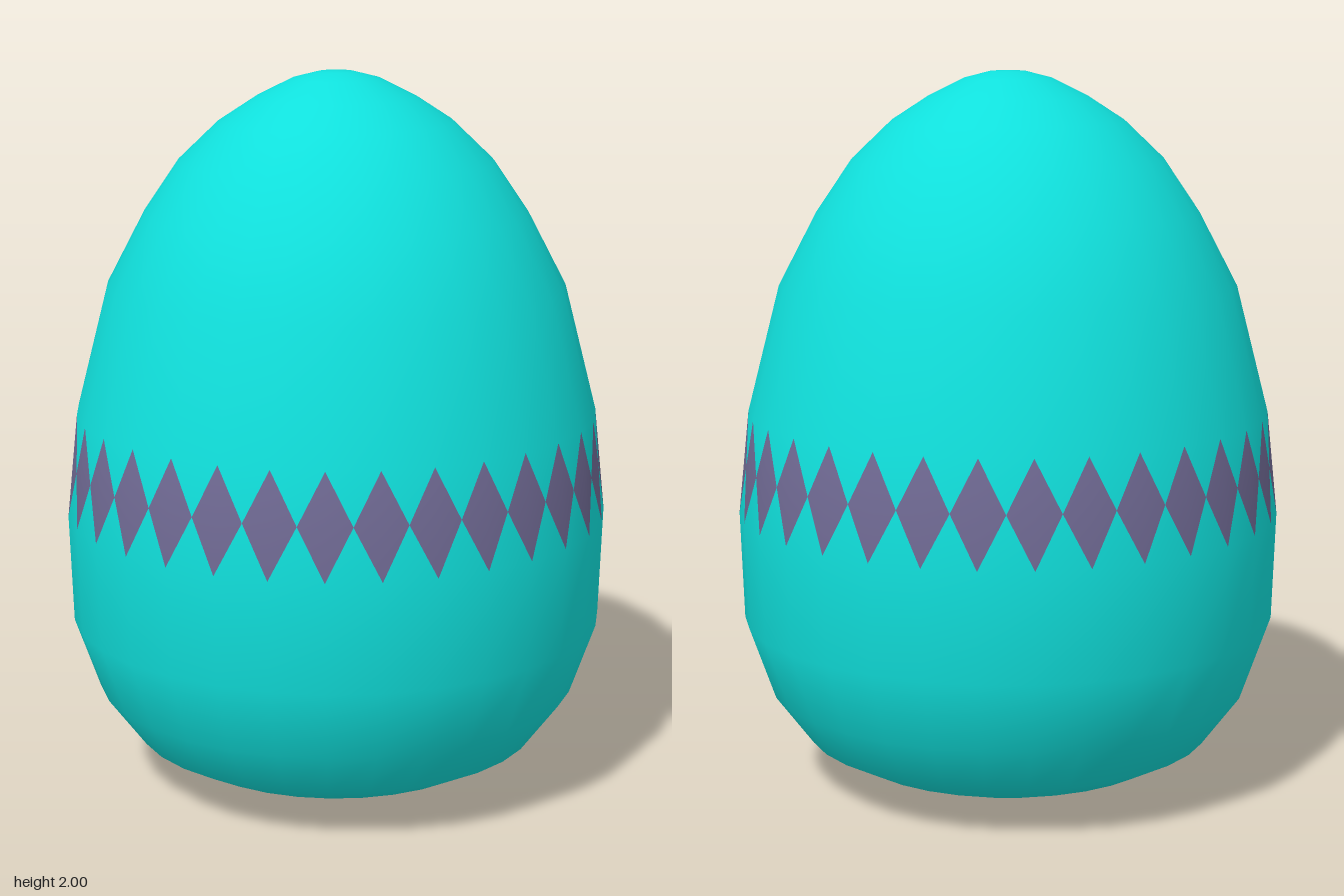
import * as THREE from 'three';

const SIDES = 32;
const BAND = 8; // profile step that carries the diamonds

// Radius and height from the base to the tip
const profile = [
  [0, 0], [0.16, 0.01], [0.31, 0.035], [0.45, 0.085], [0.565, 0.145], [0.67, 0.285],
  [0.74, 0.485], [0.75, 0.785], [0.75, 0.785], [0.72, 1.07], [0.63, 1.42], [0.525, 1.62],
  [0.43, 1.76], [0.32, 1.865], [0.22, 1.93], [0.12, 1.98], [0.05, 1.998], [0, 2],
].filter((p, i, all) => i === 0 || p[1] !== all[i - 1][1]);

function buildSurfaces() {
  const positions = [], shell = [], diamonds = [];
  const bandRow = BAND - 1;

  // Rings of corners
  for (const [r, y] of profile) {
    for (let i = 0; i < SIDES; i++) {
      const a = (i / SIDES) * Math.PI * 2;
      positions.push(r * Math.sin(a), y, r * Math.cos(a));
    }
  }

  // Faces between rings; band quads are split about their centre
  for (let row = 0; row < profile.length - 1; row++) {
    for (let i = 0; i < SIDES; i++) {
      const j = (i + 1) % SIDES;
      const a = row * SIDES + i, b = row * SIDES + j;
      const c = b + SIDES, d = a + SIDES;
      if (row === bandRow) {
        const centre = positions.length / 3;
        for (let k = 0; k < 3; k++) {
          positions.push([a, b, c, d].reduce((sum, v) => sum + positions[v * 3 + k], 0) / 4);
        }
        shell.push(a, b, centre, c, d, centre);
        diamonds.push(b, c, centre, d, a, centre);
      } else {
        if (row > 0) shell.push(a, b, c);
        else shell.push(a, c, d);
        if (row > 0 && row < profile.length - 2) shell.push(a, c, d);
      }
    }
  }

  // Shared smooth normals keep the shading continuous across both colours
  const whole = new THREE.BufferGeometry();
  whole.setAttribute('position', new THREE.Float32BufferAttribute(positions, 3));
  whole.setIndex([...shell, ...diamonds]);
  whole.computeVertexNormals();

  // Every corner of a pole ring gets the axial normal
  const normals = whole.attributes.normal;
  const last = (profile.length - 1) * SIDES;
  for (let i = 0; i < SIDES; i++) {
    normals.setXYZ(i, 0, -1, 0);
    normals.setXYZ(last + i, 0, 1, 0);
  }

  return [shell, diamonds].map((index) => {
    const geometry = new THREE.BufferGeometry();
    geometry.setAttribute('position', whole.attributes.position);
    geometry.setAttribute('normal', normals);
    geometry.setIndex(index);
    return geometry;
  });
}

export function createModel() {
  const group = new THREE.Group();
  group.name = 'decoratedEgg';
  const [shellGeometry, diamondGeometry] = buildSurfaces();

  // Egg shell
  const shell = new THREE.Mesh(shellGeometry, new THREE.MeshStandardMaterial({ color: 0x10e0dc }));
  shell.name = 'shell';

  // Ring of diamonds inlaid in the shell
  const diamonds = new THREE.Mesh(diamondGeometry, new THREE.MeshStandardMaterial({ color: 0x706a94 }));
  diamonds.name = 'diamondBand';

  group.add(shell, diamonds);
  return group;
}
